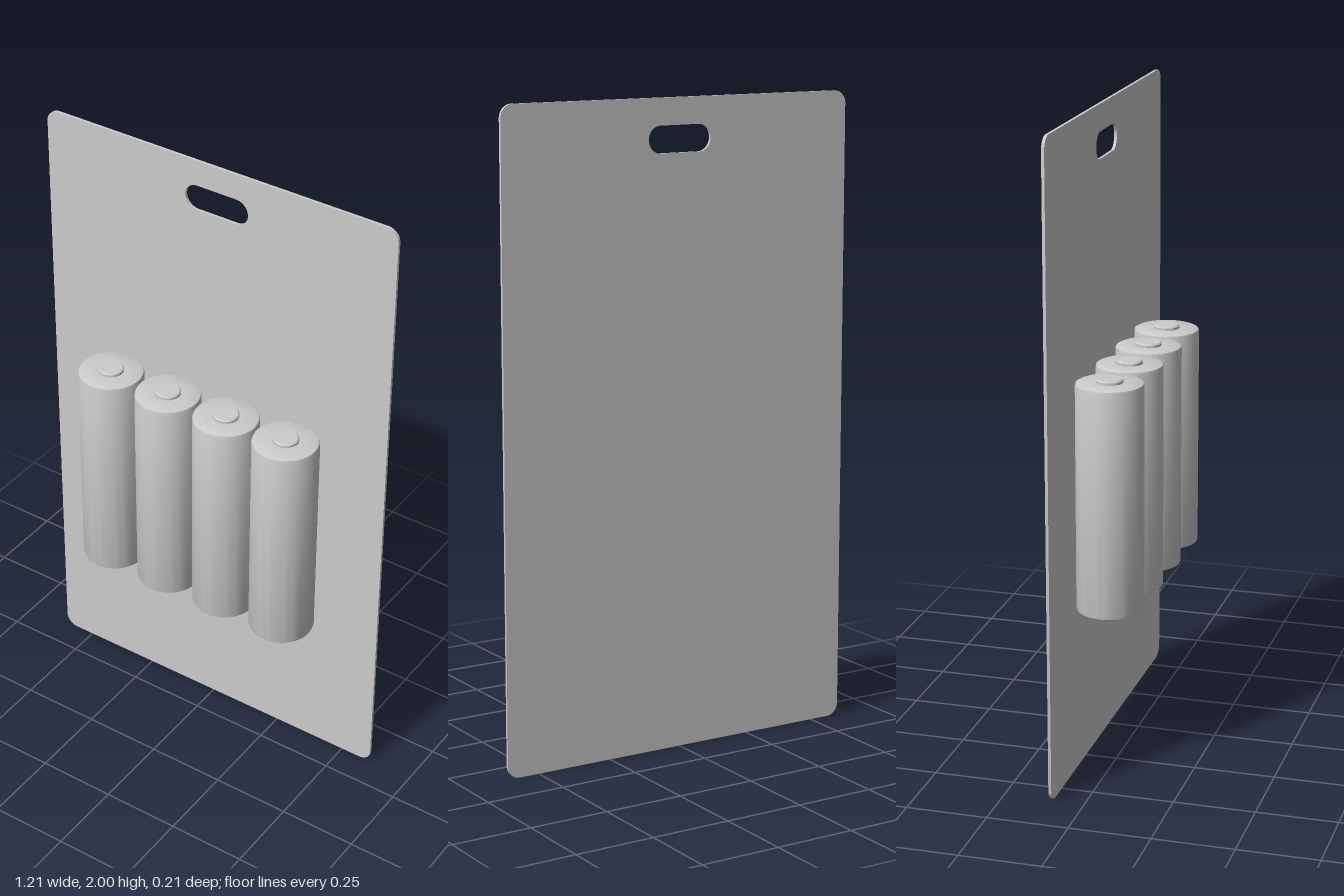
import * as THREE from 'three';
import { toCreasedNormals } from 'three/addons/utils/BufferGeometryUtils.js';

const material = new THREE.MeshStandardMaterial({ color: 0xcccccc });

// Traces a rounded rectangle centred on (cx, cy) into a Shape or Path
function roundedRect(path, cx, cy, w, h, r) {
  const x = w / 2 - r, y = h / 2 - r;
  path.absarc(cx + x, cy + y, r, 0, Math.PI / 2);
  path.absarc(cx - x, cy + y, r, Math.PI / 2, Math.PI);
  path.absarc(cx - x, cy - y, r, Math.PI, Math.PI * 1.5);
  path.absarc(cx + x, cy - y, r, Math.PI * 1.5, Math.PI * 2);
  path.closePath();
  return path;
}

export function createModel() {
  const group = new THREE.Group();

  // Thin backing card with a hanging slot
  const outline = roundedRect(new THREE.Shape(), 0, 1, 1.21, 2, 0.04);
  outline.holes.push(roundedRect(new THREE.Path(), 0, 1.877, 0.217, 0.082, 0.0405));
  const cardGeometry = new THREE.ExtrudeGeometry(outline, { depth: 0.009, bevelEnabled: false, curveSegments: 10 });
  const card = new THREE.Mesh(toCreasedNormals(cardGeometry, 0.6), material);
  card.name = 'backingCard';
  card.position.z = -0.106;
  group.add(card);

  // Battery profile: softened rims, flat ends and a small raised terminal
  const profile = [
    [0, 0.52], [0.094, 0.52], [0.1, 0.523], [0.102, 0.53],
    [0.102, 1.219], [0.1, 1.226], [0.094, 1.229],
    [0.04, 1.229], [0.04, 1.236], [0.036, 1.24], [0, 1.24],
  ].map(([r, y]) => new THREE.Vector2(r, y));
  const batteryGeometry = toCreasedNormals(new THREE.LatheGeometry(profile, 48), 0.7);

  // Row of four batteries against the card
  for (let i = 0; i < 4; i++) {
    const battery = new THREE.Mesh(batteryGeometry, material);
    battery.name = `battery${i + 1}`;
    battery.position.set((i - 1.5) * 0.212, 0, 0.003);
    group.add(battery);
  }
  return group;
}
